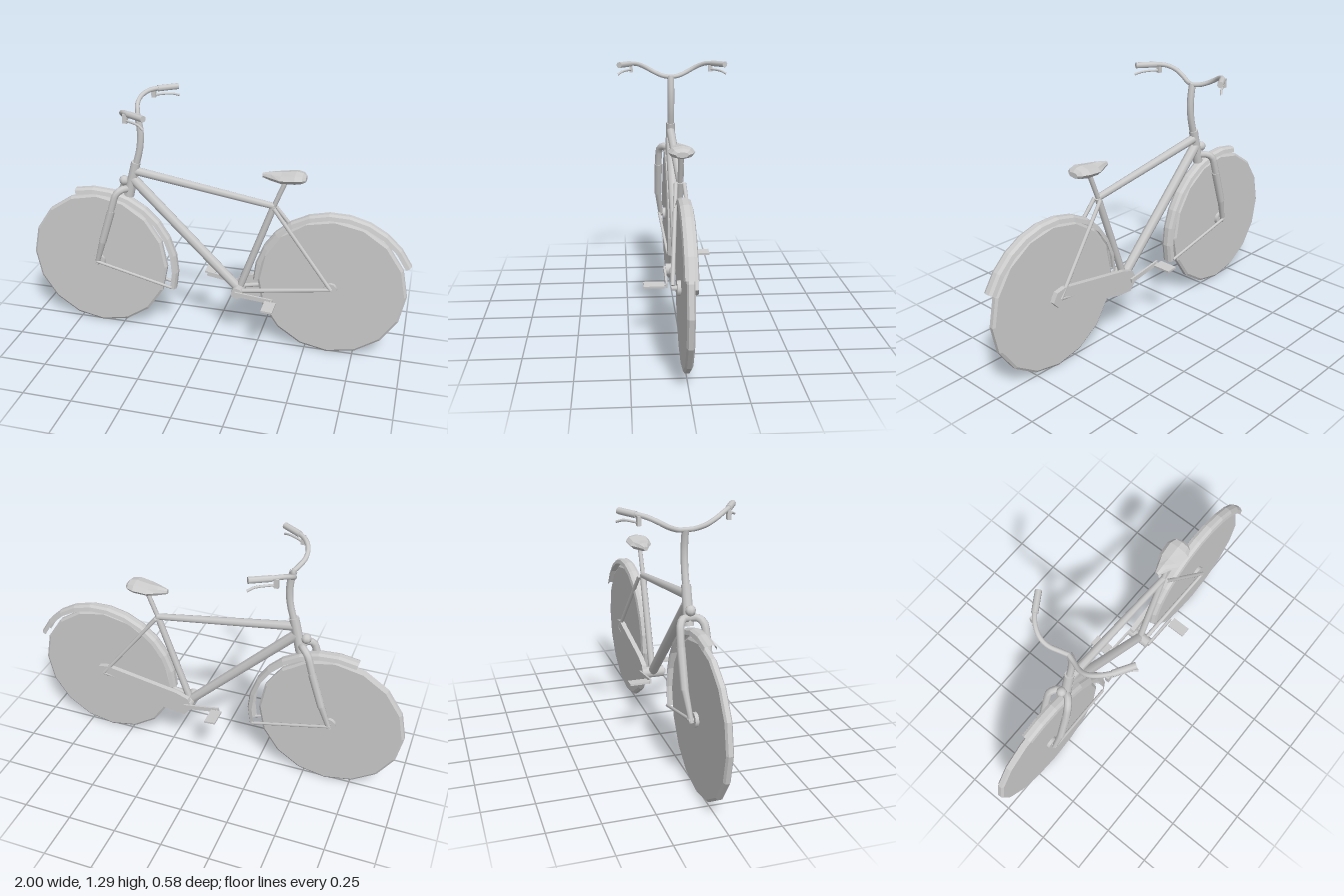
import * as THREE from 'three';

const V = (p) => new THREE.Vector3(...p);
const smooth = new THREE.MeshStandardMaterial({ color: 0xcccccc });
const flat = new THREE.MeshStandardMaterial({ color: 0xcccccc, flatShading: true });
const sheet = new THREE.MeshStandardMaterial({ color: 0xcccccc, flatShading: true, side: THREE.DoubleSide });

function add(parent, name, geometry, material = smooth) {
  const mesh = new THREE.Mesh(geometry, material);
  mesh.name = name;
  parent.add(mesh);
  return mesh;
}

// Straight tube between two points, optionally tapered
function rod(parent, name, a, b, r0, r1 = r0, sides = 8) {
  const from = V(a), dir = V(b).sub(from);
  const mesh = add(parent, name, new THREE.CylinderGeometry(r1, r0, dir.length(), sides));
  mesh.position.copy(from).addScaledVector(dir, 0.5);
  mesh.quaternion.setFromUnitVectors(new THREE.Vector3(0, 1, 0), dir.normalize());
  return mesh;
}

// Curved tube through points
function bend(parent, name, points, r, steps = 16) {
  const curve = new THREE.CatmullRomCurve3(points.map(V));
  return add(parent, name, new THREE.TubeGeometry(curve, steps, r, 8));
}

// Profile of [radius, z] turned about a z axis, between two angles in degrees
function turned(parent, name, profile, [x, y], material, segments, from = -90, to = 270) {
  const rad = THREE.MathUtils.degToRad;
  const points = profile.map((p) => new THREE.Vector2(...p));
  const g = new THREE.LatheGeometry(points, segments, rad(from + 90), rad(to - from));
  const mesh = add(parent, name, g.rotateX(Math.PI / 2), material);
  mesh.position.set(x, y, 0);
  return mesh;
}

function fender(parent, name, centre, r, from, to, segments) {
  const profile = [[r - 0.028, -0.032], [r - 0.008, -0.027], [r, -0.012],
    [r, 0.012], [r - 0.008, 0.027], [r - 0.028, 0.032]];
  turned(parent, name, profile, centre, sheet, segments, from, to);
}

// Saddle lofted from octagonal sections: [x, half width, bottom, top]
function saddleGeometry() {
  const sections = [[0.255, 0.012, 0.938, 0.962], [0.3, 0.032, 0.926, 0.972], [0.35, 0.058, 0.922, 0.974],
    [0.42, 0.064, 0.925, 0.985], [0.455, 0.05, 0.93, 0.98], [0.47, 0.03, 0.938, 0.965]];
  const n = 8, pos = [], index = [];
  for (const [x, w, lo, hi] of sections) {
    for (let i = 0; i < n; i++) {
      const a = (i / n) * Math.PI * 2;
      pos.push(x, (lo + hi) / 2 + Math.sin(a) * (hi - lo) / 2, Math.cos(a) * w);
    }
  }
  for (let s = 0; s < sections.length - 1; s++) {
    for (let i = 0; i < n; i++) {
      const a = s * n + i, b = s * n + (i + 1) % n;
      index.push(a, a + n, b, b, a + n, b + n);
    }
  }
  const last = (sections.length - 1) * n;
  for (let i = 1; i < n - 1; i++) {
    index.push(0, i, i + 1, last, last + i + 1, last + i);
  }
  const g = new THREE.BufferGeometry();
  g.setAttribute('position', new THREE.Float32BufferAttribute(pos, 3));
  g.setIndex(index);
  g.computeVertexNormals();
  return g;
}

export function createModel() {
  const bike = new THREE.Group();
  bike.name = 'bicycle';

  // Wheels: flat-sided discs with a narrow bevelled tread
  const R = 0.377;
  const tyre = [[0, -0.018], [R - 0.012, -0.018], [R, -0.01], [R, 0.01], [R - 0.012, 0.018], [0, 0.018]];
  for (const [name, x] of [['front', -0.62], ['rear', 0.62]]) {
    turned(bike, name + 'Wheel', tyre, [x, R], flat, 16);
    rod(bike, name + 'Axle', [x, R, -0.06], [x, R, 0.06], 0.012);
    rod(bike, name + 'Hub', [x, R, -0.035], [x, R, 0.035], 0.035, 0.035, 12);
  }

  // Fenders
  fender(bike, 'frontFender', [-0.615, 0.36], 0.432, -14, 106, 9);
  fender(bike, 'rearFender', [0.632, 0.375], 0.412, 25, 180, 11);

  // Main frame
  const bracket = [0.144, 0.3, 0], seatJoint = [0.315, 0.79, 0];
  rod(bike, 'headTube', [-0.442, 0.765, 0], [-0.398, 0.95, 0], 0.026, 0.024, 10);
  rod(bike, 'topTube', [-0.4, 0.903, 0], seatJoint, 0.023, 0.017);
  rod(bike, 'downTube', [-0.418, 0.86, 0], bracket, 0.027, 0.025);
  rod(bike, 'seatTube', bracket, seatJoint, 0.019, 0.017);
  rod(bike, 'seatPost', seatJoint, [0.372, 0.935, 0], 0.012);
  rod(bike, 'bottomBracket', [0.144, 0.3, -0.06], [0.144, 0.3, 0.06], 0.03, 0.03, 10);
  add(bike, 'saddle', saddleGeometry(), flat);

  // Stem and small lamp on the fork crown
  bend(bike, 'stem', [[-0.4, 0.93, 0], [-0.376, 1.02, 0], [-0.368, 1.1, 0], [-0.375, 1.17, 0], [-0.383, 1.205, 0]], 0.018, 8);
  add(bike, 'lamp', new THREE.SphereGeometry(0.026, 8, 6)).position.set(-0.465, 0.845, 0);

  // Paired parts on both sides
  for (const s of [-1, 1]) {
    const side = new THREE.Group();
    side.name = s > 0 ? 'nearSide' : 'farSide';
    bike.add(side);
    const m = (x, y, z) => [x, y, z * s];

    // Rear triangle
    rod(side, 'seatStay', m(0.318, 0.785, 0.02), m(0.625, 0.39, 0.055), 0.01);
    rod(side, 'chainStay', m(0.16, 0.305, 0.03), m(0.625, 0.39, 0.055), 0.012, 0.009);

    // Fork leg: curved shoulder, sleeve and tapered blade
    bend(side, 'forkShoulder', [m(-0.44, 0.8, 0), m(-0.463, 0.808, 0.035), m(-0.49, 0.79, 0.056), m(-0.51, 0.735, 0.062), m(-0.53, 0.66, 0.064)], 0.019, 10);
    rod(side, 'forkSleeve', m(-0.52, 0.695, 0.063), m(-0.578, 0.51, 0.063), 0.021, 0.02);
    rod(side, 'forkBlade', m(-0.575, 0.52, 0.063), m(-0.625, 0.365, 0.045), 0.018, 0.012);
    rod(side, 'fenderStay', m(-0.62, 0.383, 0.055), m(-0.215, 0.268, 0.03), 0.008);

    // Handlebar half with grip and brake lever
    bend(side, 'handlebar', [m(-0.38, 1.2, 0), m(-0.393, 1.205, 0.04), m(-0.411, 1.225, 0.09), m(-0.41, 1.25, 0.135),
      m(-0.385, 1.27, 0.18), m(-0.345, 1.276, 0.218), m(-0.29, 1.277, 0.25)], 0.012, 18);
    rod(side, 'grip', m(-0.345, 1.275, 0.218), m(-0.253, 1.278, 0.275), 0.016);
    add(side, 'leverBracket', new THREE.BoxGeometry(0.022, 0.045, 0.018), flat).position.set(...m(-0.365, 1.252, 0.212));
    bend(side, 'brakeLever', [m(-0.368, 1.242, 0.208), m(-0.32, 1.243, 0.238), m(-0.28, 1.24, 0.262), m(-0.252, 1.228, 0.285)], 0.006, 8);

    // Crank arm and pedal, opposed on the two sides
    const px = s > 0 ? 0.325 : -0.033, py = s > 0 ? 0.284 : 0.328;
    const arm = add(side, 'crankArm', new THREE.BoxGeometry(0.2, 0.024, 0.01), flat);
    arm.position.set((0.144 + px) / 2, (0.3 + py) / 2, 0.065 * s);
    arm.rotation.z = Math.atan((py - 0.3) / (px - 0.144));
    rod(side, 'pedalAxle', m(px, py, 0.06), m(px, py, 0.085), 0.006);
    const pedal = add(side, 'pedal', new THREE.BoxGeometry(0.058, 0.01, 0.1), flat);
    pedal.position.set(px, py, 0.127 * s);
    pedal.rotation.z = -0.08;
  }

  // Chain guard on the far side
  const outline = [[0.115, 0.29], [0.155, 0.24], [0.24, 0.247], [0.645, 0.35], [0.675, 0.385],
    [0.65, 0.43], [0.6, 0.44], [0.2, 0.37], [0.135, 0.345]];
  const guard = new THREE.ExtrudeGeometry(new THREE.Shape(outline.map((p) => new THREE.Vector2(...p))),
    { depth: 0.025, bevelEnabled: false });
  add(bike, 'chainGuard', guard, flat).position.z = -0.06;

  return bike;
}
